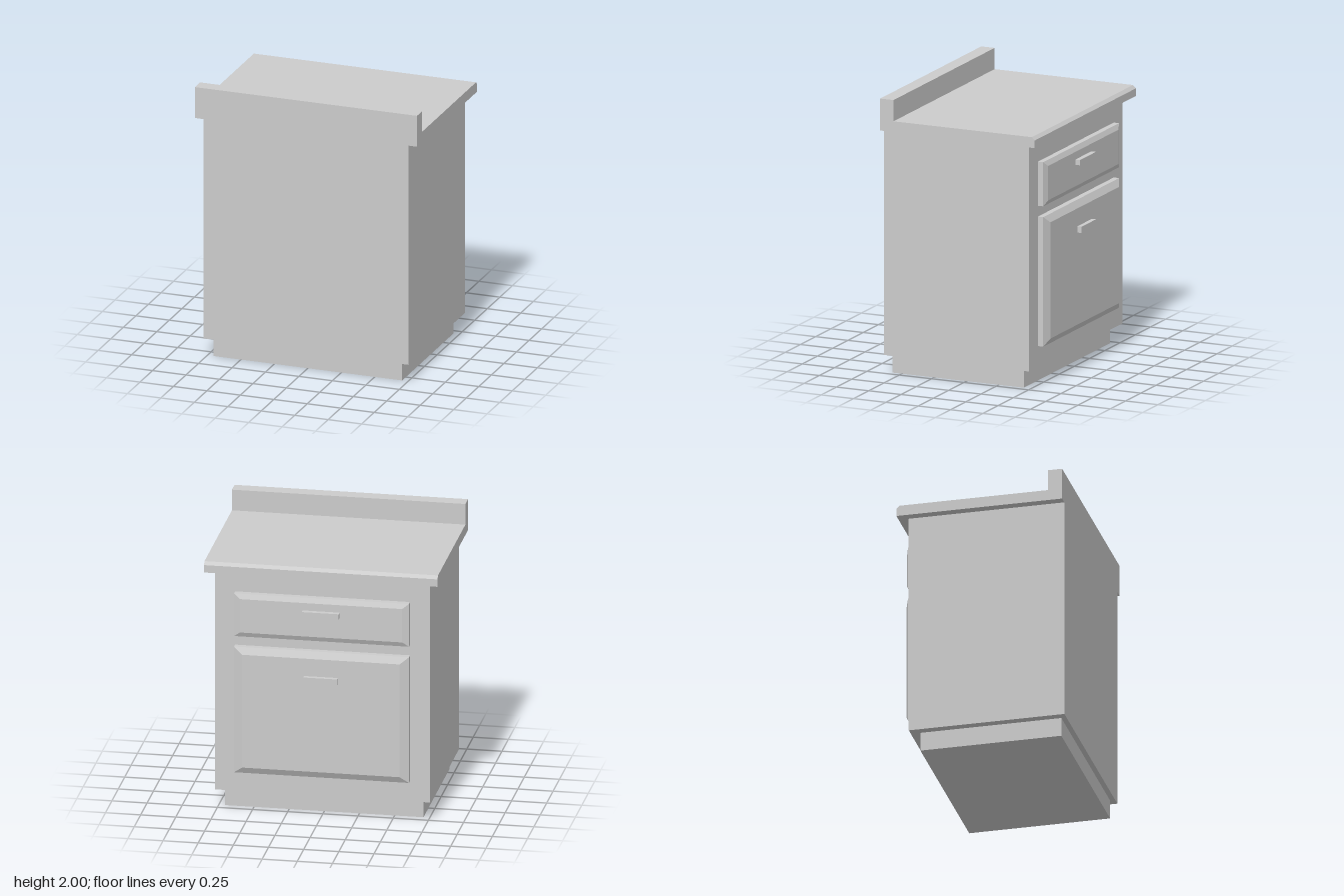
import * as THREE from 'three';

const material = new THREE.MeshStandardMaterial({ color: 0xcccccc, flatShading: true });

function addMesh(group, name, geometry) {
  const mesh = new THREE.Mesh(geometry, material);
  mesh.name = name;
  group.add(mesh);
  return mesh;
}

// Box centred on x, given by its half width and its y and z ranges
function addBox(group, name, halfX, y0, y1, z0, z1) {
  const mesh = addMesh(group, name, new THREE.BoxGeometry(2 * halfX, y1 - y0, z1 - z0));
  mesh.position.set(0, (y0 + y1) / 2, (z0 + z1) / 2);
  return mesh;
}

// Slab whose outer (-z) face is inset to leave a sloped border
function bevelledPanel(halfX, y0, y1, zBack, zEdge, zFace, insetX, insetY) {
  const box = new THREE.BoxGeometry(2, 2, 2, 1, 1, 2);
  const p = box.attributes.position;
  const halfY = (y1 - y0) / 2;
  for (let i = 0; i < p.count; i++) {
    const layer = Math.round(p.getZ(i));
    const face = layer === -1;
    p.setXYZ(
      i,
      p.getX(i) * (halfX - (face ? insetX : 0)),
      (y0 + y1) / 2 + p.getY(i) * (halfY - (face ? insetY : 0)),
      [zFace, zEdge, zBack][layer + 1]
    );
  }
  const geometry = box.toNonIndexed();
  geometry.computeVertexNormals();
  return geometry;
}

export function createModel() {
  const cabinet = new THREE.Group();
  cabinet.name = 'baseCabinet';

  // Recessed plinth and carcass
  addBox(cabinet, 'plinth', 0.705, 0, 0.137, -0.443, 0.573);
  addBox(cabinet, 'carcass', 0.765, 0.137, 1.77, -0.512, 0.61);

  // Worktop with chamfered edge and upstand, one profile (z, y) swept along x
  const halfTop = 0.83;
  const profile = new THREE.Shape([
    [-0.585, 1.77], [0.61, 1.77], [0.61, 2], [0.507, 2],
    [0.507, 1.847], [-0.563, 1.847], [-0.585, 1.825],
  ].map(([z, y]) => new THREE.Vector2(z, y)));
  const worktop = new THREE.ExtrudeGeometry(profile, { depth: 2 * halfTop, bevelEnabled: false });
  worktop.rotateY(-Math.PI / 2).translate(halfTop, 0, 0);
  addMesh(cabinet, 'worktop', worktop);

  // Drawer front and door, each with a bar handle
  addMesh(cabinet, 'drawerFront', bevelledPanel(0.622, 1.3, 1.618, -0.512, -0.553, -0.57, 0.045, 0.035));
  addBox(cabinet, 'drawerHandle', 0.132, 1.49, 1.528, -0.606, -0.57);
  addMesh(cabinet, 'door', bevelledPanel(0.622, 0.288, 1.222, -0.512, -0.553, -0.58, 0.062, 0.048));
  addBox(cabinet, 'doorHandle', 0.12, 1, 1.045, -0.612, -0.58);

  return cabinet;
}
